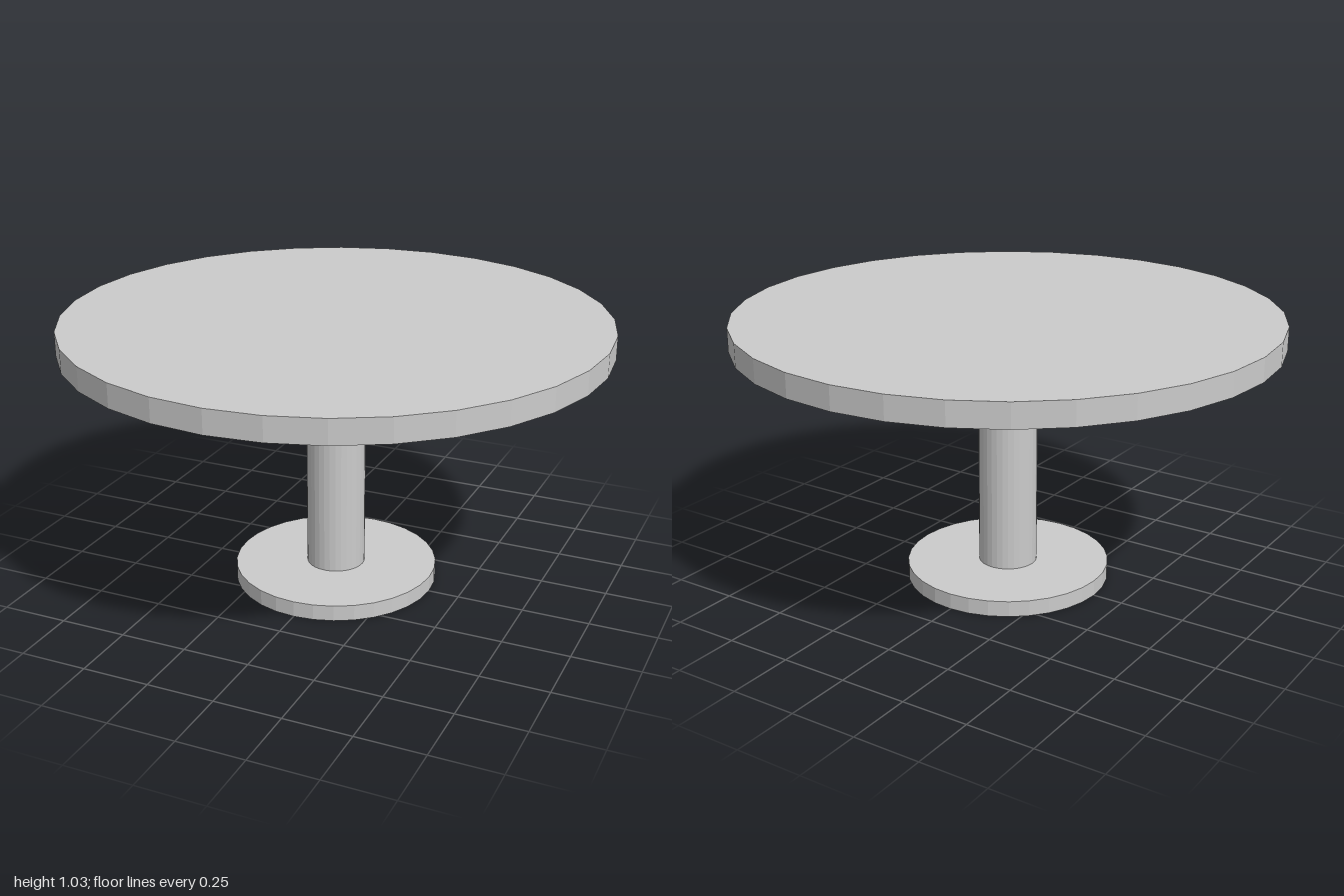
import * as THREE from 'three';

const SIDES = 32;

export function createModel() {
  const group = new THREE.Group();
  const material = new THREE.MeshStandardMaterial({ color: 0xcccccc, flatShading: true });

  // Upright disc or post spanning bottom to top
  function addRound(name, radius, bottom, top) {
    const geometry = new THREE.CylinderGeometry(radius, radius, top - bottom, SIDES);
    const mesh = new THREE.Mesh(geometry, material);
    mesh.name = name;
    mesh.position.y = (bottom + top) / 2;
    group.add(mesh);
  }

  addRound('base', 0.383, 0, 0.06);
  addRound('column', 0.11, 0.06, 0.942);
  addRound('tableTop', 1, 0.942, 1.03);

  return group;
}
